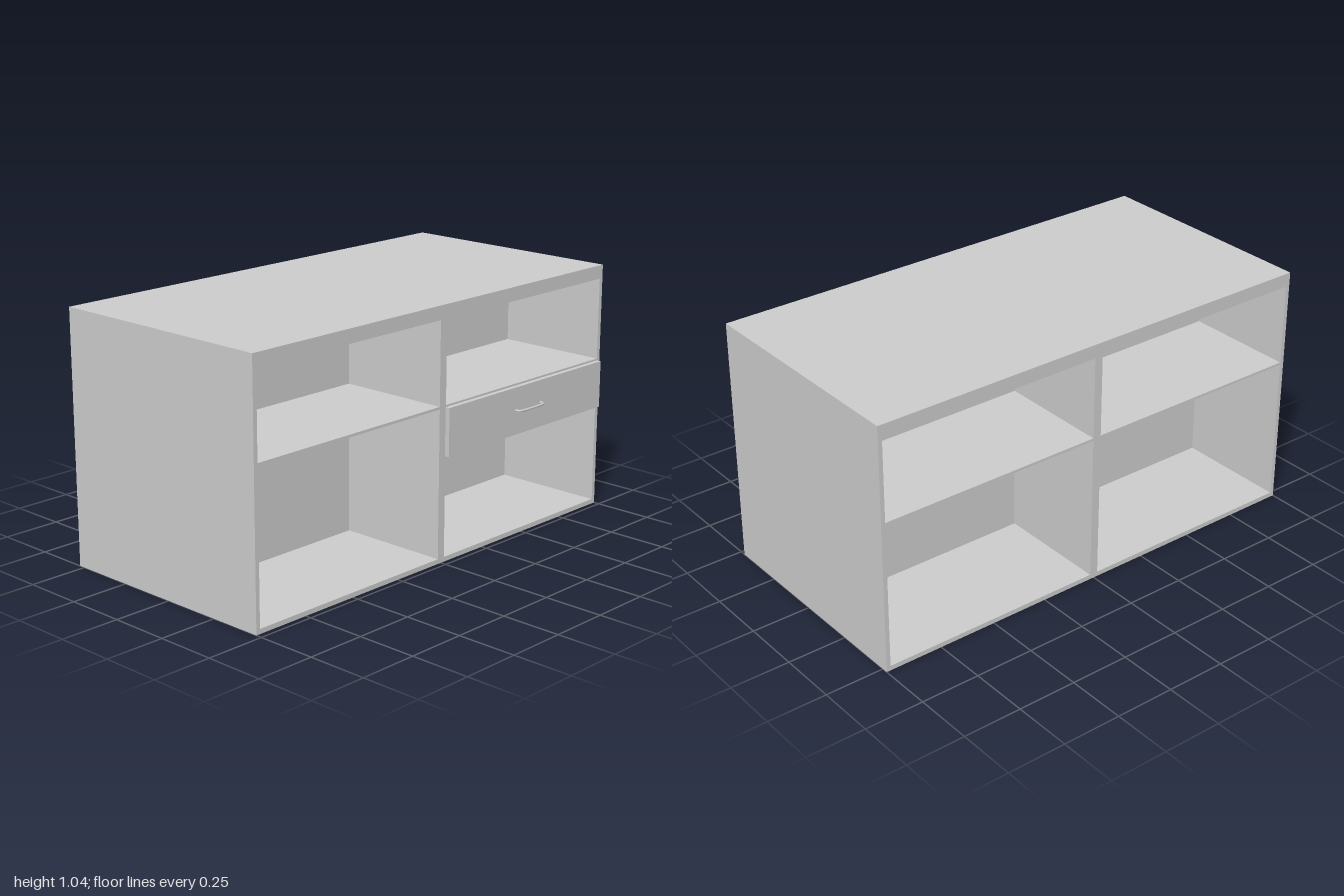
import * as THREE from 'three';

const material = new THREE.MeshStandardMaterial({ color: 0xcccccc });

// Box given by its minimum and maximum corners
function panel(parent, name, [x0, y0, z0], [x1, y1, z1]) {
  const mesh = new THREE.Mesh(new THREE.BoxGeometry(x1 - x0, y1 - y0, z1 - z0), material);
  mesh.position.set((x0 + x1) / 2, (y0 + y1) / 2, (z0 + z1) / 2);
  mesh.name = name;
  parent.add(mesh);
  return mesh;
}

const T = 0.018;          // board thickness
const TOP = 1.003;        // height of a cabinet below the worktop
const FRONT = 0.475, MID = -0.025, BACK = -0.525;

// One open cabinet with a shelf; dir is the side it opens to (+1 front, -1 back)
function cabinet(name, x0, x1, dir) {
  const g = new THREE.Group();
  g.name = name;
  const [z0, z1] = dir > 0 ? [MID, FRONT] : [BACK, MID];
  const [i0, i1] = dir > 0 ? [MID + T, FRONT] : [BACK, MID - T];
  panel(g, 'sidePanel', [x0, 0, z0], [x0 + T, TOP, z1]);
  panel(g, 'sidePanel', [x1 - T, 0, z0], [x1, TOP, z1]);
  panel(g, 'bottomPanel', [x0 + T, 0, z0], [x1 - T, 0.02, z1]);
  panel(g, 'topPanel', [x0 + T, TOP - T, z0], [x1 - T, TOP, z1]);
  const rear = dir > 0 ? [MID, MID + T] : [MID - T, MID];
  panel(g, 'rearPanel', [x0 + T, 0.02, rear[0]], [x1 - T, TOP - T, rear[1]]);
  panel(g, 'shelf', [x0 + T, 0.632, i0], [x1 - T, 0.643, i1]);
  return g;
}

// Drawer with an overlay front, open box and bow handle
function drawer() {
  const g = new THREE.Group();
  g.name = 'drawer';
  panel(g, 'drawerFront', [0.016, 0.437, FRONT], [0.982, 0.635, 0.495]);
  const x0 = 0.03, x1 = 0.97, y0 = 0.45, y1 = 0.6, z0 = 0.02;
  panel(g, 'drawerBottom', [x0, y0, z0], [x1, y0 + 0.012, FRONT]);
  panel(g, 'drawerSide', [x0, y0 + 0.012, z0], [x0 + 0.015, y1, FRONT]);
  panel(g, 'drawerSide', [x1 - 0.015, y0 + 0.012, z0], [x1, y1, FRONT]);
  panel(g, 'drawerBack', [x0 + 0.015, y0 + 0.012, z0], [x1 - 0.015, y1, z0 + 0.015]);

  const half = [[0.08, 0.494], [0.08, 0.504], [0.075, 0.513], [0.063, 0.517], [0.03, 0.52]];
  const points = [
    ...half.map(([x, z]) => new THREE.Vector3(-x, 0, z)),
    ...half.slice().reverse().map(([x, z]) => new THREE.Vector3(x, 0, z)),
  ];
  const handle = new THREE.Mesh(
    new THREE.TubeGeometry(new THREE.CatmullRomCurve3(points), 48, 0.005, 10), material);
  handle.position.set(0.5, 0.54, 0);
  handle.name = 'handle';
  g.add(handle);
  return g;
}

export function createModel() {
  const model = new THREE.Group();
  model.name = 'kitchenIsland';
  // Four cabinets, back to back in pairs
  for (const dir of [1, -1]) {
    const side = dir > 0 ? 'front' : 'back';
    model.add(cabinet(side + 'RightCabinet', -1, 0, dir));
    model.add(cabinet(side + 'LeftCabinet', 0, 1, dir));
  }
  model.add(drawer());
  panel(model, 'worktop', [-1, TOP, BACK], [1, 1.042, FRONT]);
  return model;
}
